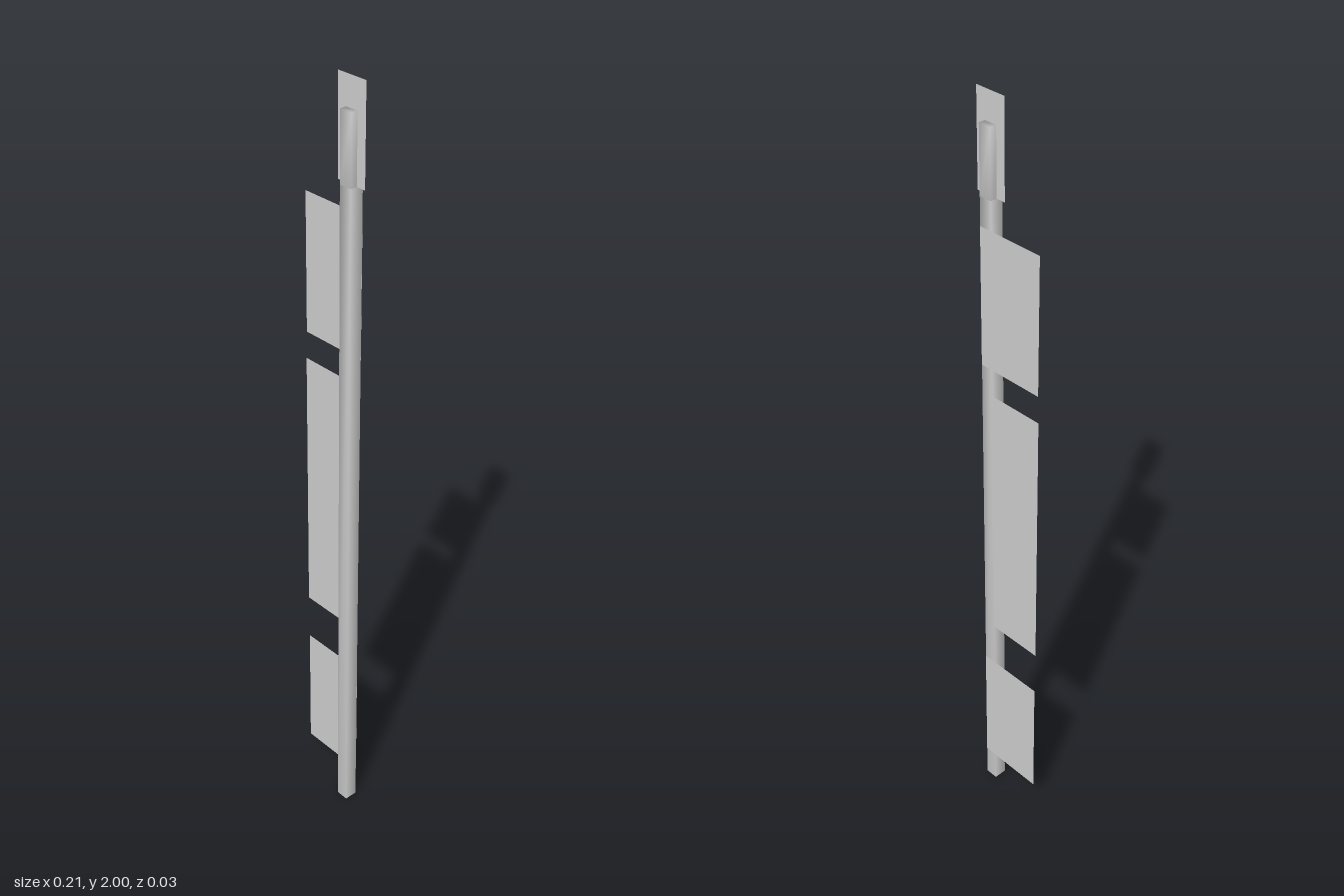
import * as THREE from 'three';
import { mergeVertices } from 'three/addons/utils/BufferGeometryUtils.js';

const POLE_X = 0.063, POLE_W = 0.034, POLE_H = 1.765;

// Square bar with softly shaded corners, standing between two heights
function bar(name, y0, y1, material) {
  let g = new THREE.BoxGeometry(POLE_W, y1 - y0, POLE_W);
  g.deleteAttribute('normal');
  g.deleteAttribute('uv');
  g = mergeVertices(g);
  g.computeVertexNormals();
  const mesh = new THREE.Mesh(g, material);
  mesh.name = name;
  mesh.position.set(POLE_X, (y0 + y1) / 2, 0);
  return mesh;
}

// Thin upright sheet facing the front
function sheet(name, x0, x1, y0, y1, z, material) {
  const mesh = new THREE.Mesh(new THREE.PlaneGeometry(x1 - x0, y1 - y0), material);
  mesh.name = name;
  mesh.position.set((x0 + x1) / 2, (y0 + y1) / 2, z);
  return mesh;
}

export function createModel() {
  const group = new THREE.Group();
  group.name = 'poleWithBanners';
  const solid = new THREE.MeshStandardMaterial({ color: 0xcccccc });
  const thin = new THREE.MeshStandardMaterial({ color: 0xcccccc, side: THREE.DoubleSide });

  // Pole and the tip above it
  group.add(bar('pole', 0, POLE_H, solid));
  group.add(bar('poleTip', POLE_H, 1.93, solid));

  // Flat panel through the middle of the tip
  group.add(sheet('tipPanel', 0.021, 0.105, POLE_H, 2, 0, thin));

  // Banners on the back of the pole; the middle one stops at the pole's edge
  const banners = [
    ['lowerBanner', -0.103, 0.08, 0.09, 0.44],
    ['middleBanner', -0.105, 0.046, 0.565, 1.275],
    ['upperBanner', -0.103, 0.08, 1.345, 1.695],
  ];
  for (const [name, x0, x1, y0, y1] of banners) {
    group.add(sheet(name, x0, x1, y0, y1, -0.0175, thin));
  }
  return group;
}
